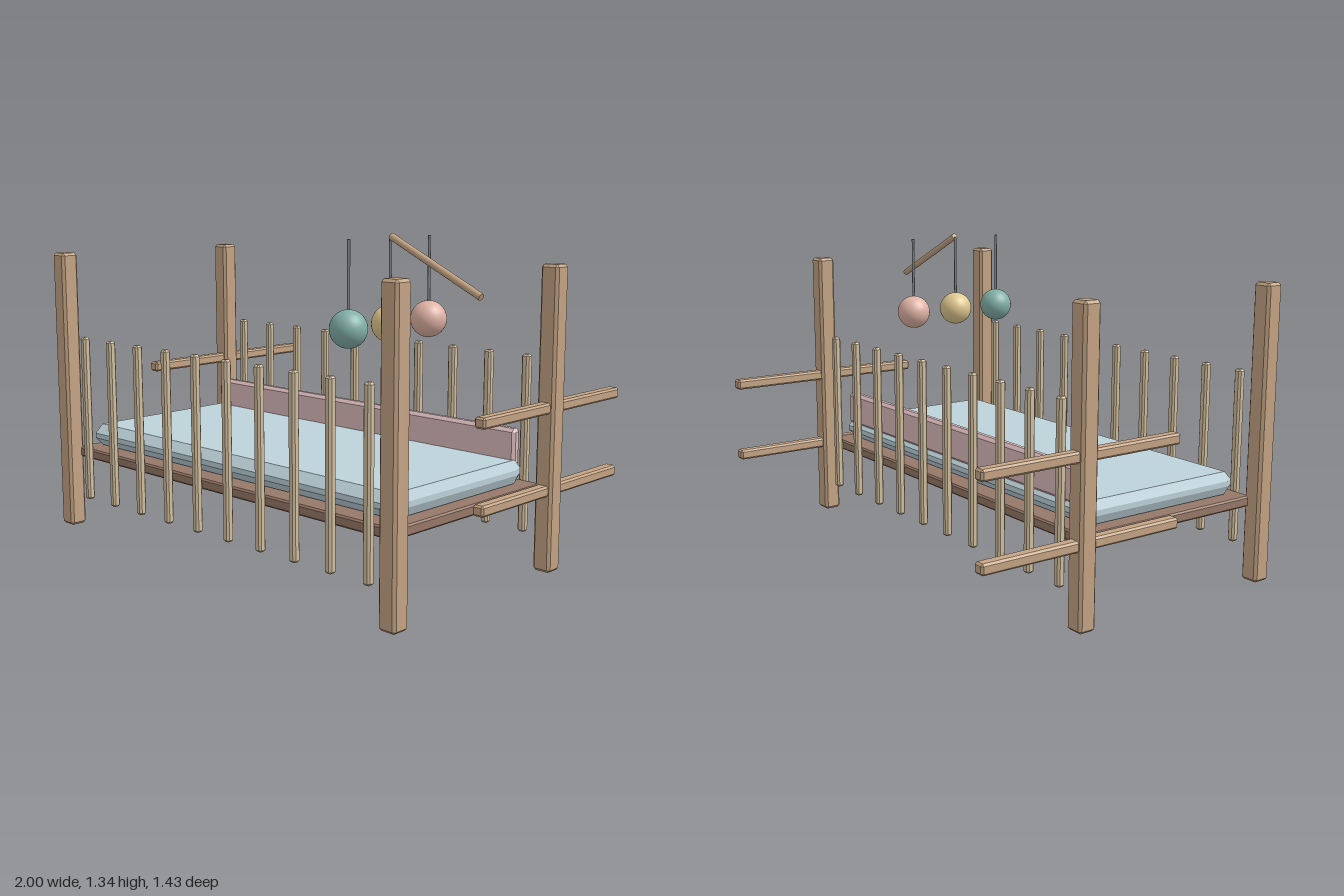
import * as THREE from 'three';
import { ConvexGeometry } from 'three/addons/geometries/ConvexGeometry.js';

const mat = (color) => new THREE.MeshStandardMaterial({ color });

// Box with chamfered edges; the chamfer may differ per axis
function chamferBox(w, h, d, bx, by = bx, bz = bx) {
  const points = [];
  for (const sx of [-1, 1]) for (const sy of [-1, 1]) for (const sz of [-1, 1]) {
    const X = w / 2, Y = h / 2, Z = d / 2;
    points.push(
      new THREE.Vector3(sx * X, sy * (Y - by), sz * (Z - bz)),
      new THREE.Vector3(sx * (X - bx), sy * Y, sz * (Z - bz)),
      new THREE.Vector3(sx * (X - bx), sy * (Y - by), sz * Z));
  }
  return new ConvexGeometry(points);
}

export function createModel() {
  const model = new THREE.Group();
  model.name = 'crib';
  const wood = mat(0xc4a484), slatWood = mat(0xd2bf9f), darkWood = mat(0x967868);
  const metal = mat(0x80878c);

  const add = (name, geometry, material, x, y, z) => {
    const mesh = new THREE.Mesh(geometry, material);
    mesh.name = name;
    mesh.position.set(x, y, z);
    model.add(mesh);
    return mesh;
  };

  // Corner posts and the two end rails on each side
  const post = chamferBox(0.08, 1.22, 0.078, 0.011);
  const rail = chamferBox(0.05, 0.044, 0.92, 0.008);
  for (const x of [-0.96, 0.96]) {
    for (const z of [0.674, -0.25]) add('cornerPost', post, wood, x, 0.612, z);
    for (const y of [0.334, 0.665]) add('endRail', rail, wood, x, y, -0.253);
  }

  // Slats along the front and back
  const slat = chamferBox(0.034, 0.725, 0.034, 0.008);
  for (const z of [0.668, -0.257]) {
    for (let i = 0; i < 10; i++) add('slat', slat, slatWood, -0.838 + i * 0.1862, 0.498, z);
  }

  // Base board, mattress and bumper
  add('baseBoard', chamferBox(1.88, 0.044, 0.885, 0.007), darkWood, 0, 0.334, 0.21);
  add('mattress', chamferBox(1.78, 0.096, 0.786, 0.018, 0.037, 0.038), mat(0xbdd2da), 0, 0.408, 0.212);
  add('bumper', chamferBox(1.75, 0.15, 0.046, 0.01, 0.014, 0.014), mat(0xdcbcbe), 0, 0.505, -0.152);

  // Mobile arm, leaning from the post height up over the bed
  const tip = new THREE.Vector3(0.53, 1.328, 0.21), root = new THREE.Vector3(0.96, 1.126, 0.21);
  const span = root.clone().sub(tip);
  const arm = add('mobileArm', new THREE.CylinderGeometry(0.014, 0.014, span.length(), 16), wood, 0, 0, 0);
  arm.position.copy(tip).add(root).multiplyScalar(0.5);
  arm.quaternion.setFromUnitVectors(new THREE.Vector3(0, 1, 0), span.normalize());

  // Hanging balls on cords
  const cord = new THREE.CylinderGeometry(0.006, 0.006, 0.285, 8);
  const ball = new THREE.SphereGeometry(0.073, 32, 20);
  [[0.443, 0x82b0a8], [0.211, 0xe0c98f], [-0.02, 0xe0b3a6]].forEach(([z, color]) => {
    add('mobileCord', cord, metal, 0.527, 1.183, z);
    add('mobileBall', ball, mat(color), 0.527, 0.995, z);
  });

  return model;
}
